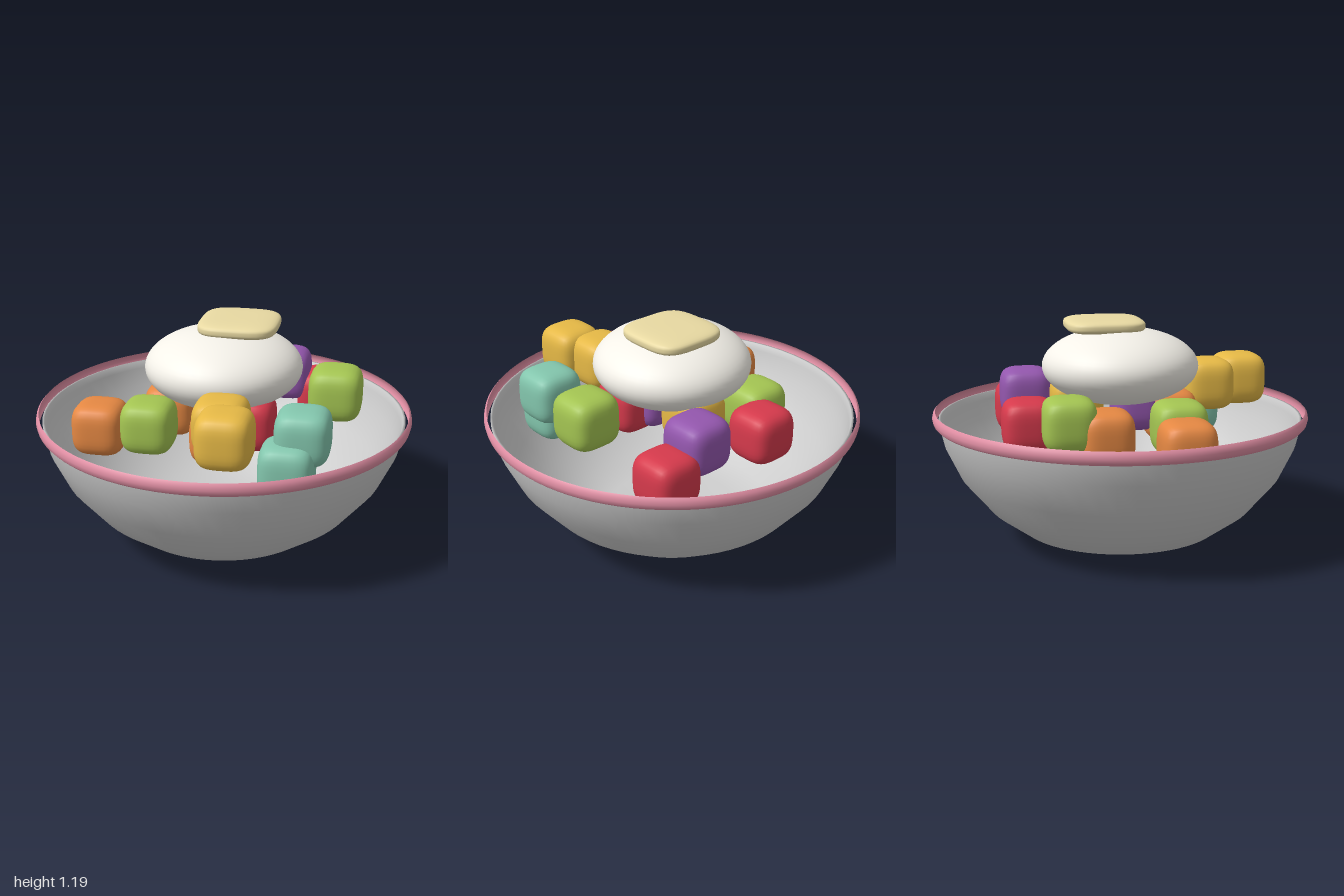
import * as THREE from 'three';
import { mergeVertices } from 'three/addons/utils/BufferGeometryUtils.js';

const COLORS = {
  red: 0xd63a4c, lime: 0xa4c552, orange: 0xe58843, purple: 0x9457ae,
  yellow: 0xe6b946, teal: 0x83c6ad, pink: 0xe08ea3, cream: 0xf3f0e8, butter: 0xe8d9a2,
};

const mat = (color, side = THREE.FrontSide) => new THREE.MeshStandardMaterial({ color, side });

function addMesh(group, name, geometry, material, position = [0, 0, 0]) {
  const mesh = new THREE.Mesh(geometry, material);
  mesh.name = name;
  mesh.position.set(...position);
  group.add(mesh);
  return mesh;
}

function lathe(points, segments = 64) {
  return new THREE.LatheGeometry(points.map(([r, y]) => new THREE.Vector2(r, y)), segments);
}

// Soft cube with bulging sides: a box pushed onto a superellipsoid of half size 1
function softCube(power = 3.7) {
  const box = new THREE.BoxGeometry(2, 2, 2, 10, 10, 10);
  box.deleteAttribute('uv');
  box.deleteAttribute('normal');
  const geometry = mergeVertices(box);
  const pos = geometry.attributes.position;
  const v = new THREE.Vector3();
  for (let i = 0; i < pos.count; i++) {
    v.fromBufferAttribute(pos, i);
    const sum = Math.abs(v.x) ** power + Math.abs(v.y) ** power + Math.abs(v.z) ** power;
    v.multiplyScalar(sum ** (-1 / power));
    pos.setXYZ(i, v.x, v.y, v.z);
  }
  geometry.computeVertexNormals();
  return geometry;
}

export function createModel() {
  const model = new THREE.Group();
  model.name = 'dessertBowl';

  // Bowl: outer wall, thin lip, inner wall
  addMesh(model, 'bowl', lathe([
    [0, 0], [0.38, 0.015], [0.54, 0.065], [0.71, 0.19], [0.86, 0.37], [0.94, 0.54],
    [0.965, 0.65], [0.967, 0.68], [0.955, 0.68], [0.945, 0.64], [0.92, 0.54],
    [0.84, 0.38], [0.695, 0.205], [0.53, 0.085], [0.37, 0.035], [0, 0.02],
  ]), mat(0xcccccc, THREE.DoubleSide));

  // Rim band, standing slightly clear of the bowl
  addMesh(model, 'rimBand', lathe([
    [0.984, 0.65], [0.995, 0.662], [1, 0.684], [0.995, 0.706], [0.984, 0.718],
  ], 96), mat(COLORS.pink, THREE.DoubleSide));

  // Flattened scoop in the middle
  addMesh(model, 'scoop', new THREE.SphereGeometry(1, 48, 32), mat(COLORS.cream), [0, 0.94, 0])
    .scale.set(0.417, 0.202, 0.417);

  // Thin pillow-shaped wafer on the scoop
  const cube = softCube();
  addMesh(model, 'wafer', cube, mat(COLORS.butter), [0.07, 1.152, -0.075])
    .scale.set(0.21, 0.038, 0.21);

  // Fruit pieces: color name followed by centres
  const pieces = {
    red: [[-0.16, 0.67, -0.51], [0.48, 0.64, -0.495], [0.165, 0.7, 0.16]],
    lime: [[-0.3, 0.7, -0.32], [-0.352, 0.67, 0.24], [0.594, 0.825, -0.024]],
    orange: [[-0.625, 0.63, 0.216], [-0.32, 0.63, -0.13], [0.025, 0.66, 0.276]],
    purple: [[0.267, 0.757, -0.482], [0.046, 0.72, 0.1]],
    yellow: [[0.144, 0.825, 0.695], [0.087, 0.81, 0.5], [0.058, 0.74, -0.23]],
    teal: [[0.484, 0.76, 0.435], [0.417, 0.61, 0.505]],
  };
  const fruit = new THREE.Group();
  fruit.name = 'fruitPieces';
  for (const [color, centres] of Object.entries(pieces)) {
    const material = mat(COLORS[color]);
    centres.forEach((centre, i) => {
      addMesh(fruit, `${color}Piece${i + 1}`, cube, material, centre).scale.setScalar(0.14);
    });
  }
  model.add(fruit);
  return model;
}
